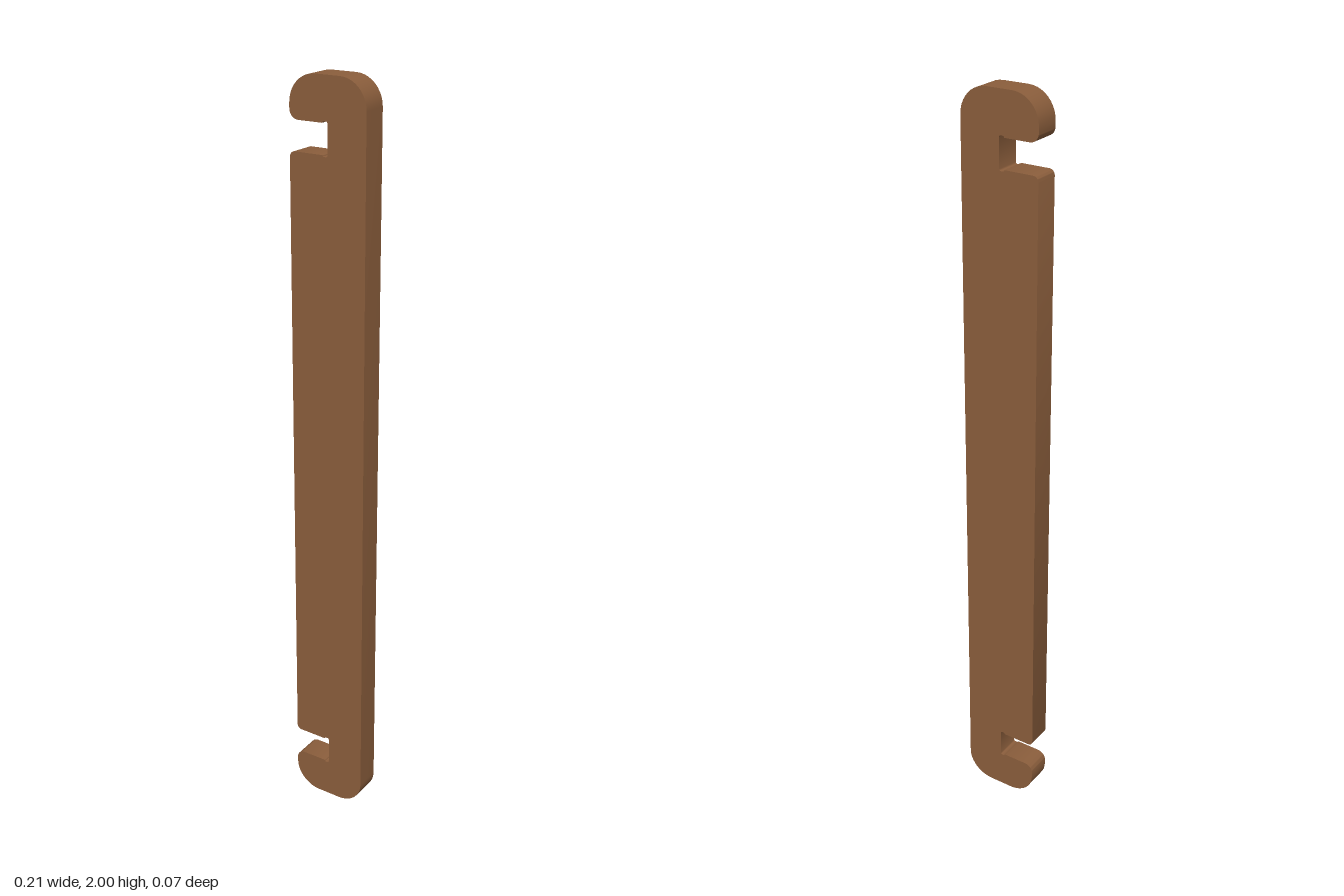
import * as THREE from 'three';
import { toCreasedNormals } from 'three/addons/utils/BufferGeometryUtils.js';

const HALF_WIDTH = 0.106, HEIGHT = 2, DEPTH = 0.07;

// Closed outline through [x, y, radius] corners, each rounded by a near-circular curve.
function roundedOutline(corners) {
  const shape = new THREE.Shape();
  const n = corners.length;
  corners.forEach(([x, y, r], i) => {
    const p = new THREE.Vector2(x, y);
    const toward = ([cx, cy], d) => new THREE.Vector2(cx, cy).sub(p).setLength(d).add(p);
    const prev = corners[(i + n - 1) % n], next = corners[(i + 1) % n];
    const start = toward(prev, r), end = toward(next, r);
    if (i === 0) shape.moveTo(start.x, start.y);
    else shape.lineTo(start.x, start.y);
    const c1 = toward(prev, r * 0.448), c2 = toward(next, r * 0.448);
    shape.bezierCurveTo(c1.x, c1.y, c2.x, c2.y, end.x, end.y);
  });
  shape.closePath();
  return shape;
}

export function createModel() {
  const model = new THREE.Group();
  model.name = 'notchedSlat';

  // Lower end: rounded foot, hook lip, slot with small corner reliefs, body edge
  const lowerEnd = [
    [HALF_WIDTH, 0, 0.072],
    [-HALF_WIDTH, 0, 0.072],
    [-HALF_WIDTH, 0.109, 0.024],
    [-0.013, 0.109, 0.002],
    [-0.013, 0.105, 0.002],
    [0, 0.105, 0.004],
    [0, 0.187, 0.004],
    [-0.013, 0.187, 0.002],
    [-0.013, 0.183, 0.002],
    [-HALF_WIDTH, 0.183, 0.014],
  ];
  // Upper end mirrors the lower one
  const upperEnd = lowerEnd.map(([x, y, r]) => [x, HEIGHT - y, r]).reverse();

  const geometry = new THREE.ExtrudeGeometry(roundedOutline([...lowerEnd, ...upperEnd]), {
    depth: DEPTH, bevelEnabled: false, curveSegments: 10,
  });
  geometry.translate(0, 0, -DEPTH / 2);

  const slat = new THREE.Mesh(
    toCreasedNormals(geometry, Math.PI / 6),
    new THREE.MeshStandardMaterial({ color: 0x8b5e3c }),
  );
  slat.name = 'slat';
  model.add(slat);
  return model;
}
